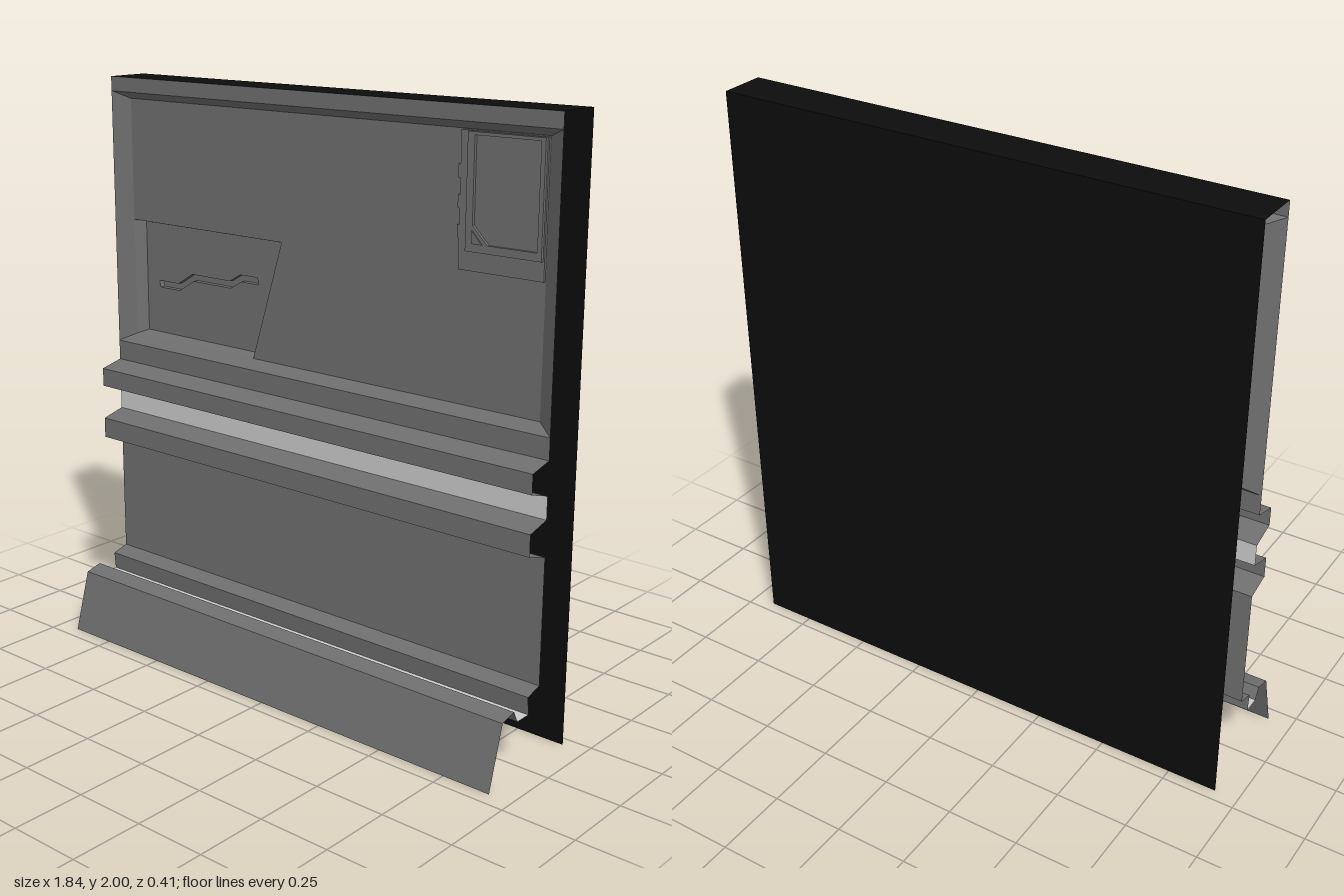
import * as THREE from 'three';

const mat = (color) => new THREE.MeshStandardMaterial({ color, side: THREE.DoubleSide, flatShading: true });
const HALF = 0.92, WALL = -0.055, PANEL = -0.09, NICHE = -0.13, SLIT = -0.15;

export function createModel() {
  const group = new THREE.Group();
  const grey = mat(0x6f6f6f), light = mat(0xcccccc), black = mat(0x0c0c0c);

  const add = (name, geometry, material = grey) => {
    const mesh = new THREE.Mesh(geometry, material);
    mesh.name = name;
    group.add(mesh);
    return mesh;
  };

  // Quads joining two rows of 3D points, kept faceted
  const loft = (a, b, closed) => {
    const pos = [];
    const n = closed ? a.length : a.length - 1;
    for (let i = 0; i < n; i++) {
      const j = (i + 1) % a.length;
      for (const p of [a[i], b[i], b[j], a[i], b[j], a[j]]) pos.push(...p);
    }
    const g = new THREE.BufferGeometry();
    g.setAttribute('position', new THREE.Float32BufferAttribute(pos, 3));
    g.computeVertexNormals();
    return g;
  };

  // Open [z, y] profile swept across the full width
  const sweep = (profile) => loft(
    profile.map(([z, y]) => [-HALF, y, z]),
    profile.map(([z, y]) => [HALF, y, z]));

  // Sloping sides between two [x, y] outlines at different depths
  const sides = (outer, z0, inner, z1) => loft(
    outer.map(([x, y]) => [x, y, z0]), inner.map(([x, y]) => [x, y, z1]), true);

  const shapeOf = (outline, hole) => {
    const s = new THREE.Shape(outline.map((p) => new THREE.Vector2(...p)));
    if (hole) s.holes.push(new THREE.Path(hole.map((p) => new THREE.Vector2(...p))));
    return s;
  };
  const flat = (outline, z, hole) => new THREE.ShapeGeometry(shapeOf(outline, hole)).translate(0, 0, z);
  const slab = (outline, z, depth, hole) =>
    new THREE.ExtrudeGeometry(shapeOf(outline, hole), { depth, bevelEnabled: false }).translate(0, 0, z);
  const rect = (x0, y0, x1, y1) => [[x0, y0], [x1, y0], [x1, y1], [x0, y1]];

  // Back sheet and top cover
  add('backAndTopCover', sweep([[-0.21, 0], [-0.21, 2], [WALL, 2]]), black);

  // Front wall with its two rails and the lit strip between them
  add('topBorder', sweep([[WALL, 2], [WALL, 1.95]]));
  add('upperRail', sweep([[WALL, 1.055], [WALL, 0.985], [0.03, 0.965], [0.03, 0.9], [WALL, 0.875]]));
  add('lightStrip', sweep([[WALL, 0.875], [WALL, 0.8]]), light);
  add('lowerRailAndWall', sweep([[WALL, 0.8], [0.03, 0.778], [0.03, 0.706], [WALL, 0.682],
    [WALL, 0.262], [0.005, 0.245], [0, 0.185]]));

  // Floor trim: lit gutter and sloping skirt
  add('gutterLight', sweep([[0, 0.185], [0.06, 0.185]]), light);
  add('skirt', sweep([[0.06, 0.185], [0.08, 0.225], [0.14, 0.21], [0.2, 0]]));

  // Large recessed panel, cut out at its lower corner for the niche
  add('panelBevel', sides(rect(-HALF, 1.055, HALF, 1.95), WALL, rect(-0.86, 1.085, 0.86, 1.925), PANEL));
  add('panelFace', flat([[-0.86, 1.5], [-0.16, 1.5], [-0.29, 1.085],
    [0.86, 1.085], [0.86, 1.925], [-0.86, 1.925]], PANEL));

  // Niche with a stepped slit in its face
  const nicheOuter = [[-0.86, 1.085], [-0.29, 1.085], [-0.16, 1.5], [-0.86, 1.5]];
  const nicheInner = [[-0.84, 1.095], [-0.3, 1.095], [-0.18, 1.49], [-0.84, 1.49]];
  const slitLine = [[-0.775, 1.26], [-0.68, 1.26], [-0.61, 1.303], [-0.43, 1.303], [-0.38, 1.332], [-0.3, 1.332]];
  const slit = [...slitLine, ...slitLine.map(([x, y]) => [x - 0.005, y + 0.024]).reverse()];
  add('nicheBevel', sides(nicheOuter, PANEL, nicheInner, NICHE));
  add('nicheFace', flat(nicheInner, NICHE, slit));
  add('slitSides', sides(slit, NICHE, slit, SLIT));
  add('slitFloor', flat(slit, SLIT));

  // Raised plate in the upper corner, with a frame and a corner gusset
  add('cornerPlate', slab(rect(0.555, 1.505, 0.858, 1.922), PANEL, 0.008));
  add('cornerFrame', slab(rect(0.585, 1.565, 0.853, 1.92), PANEL + 0.008, 0.01,
    [[0.665, 1.59], [0.838, 1.59], [0.838, 1.91], [0.61, 1.91], [0.61, 1.645]]));
  add('cornerGusset', slab([[0.61, 1.59], [0.648, 1.59], [0.61, 1.63]], PANEL + 0.018, 0.004));
  for (const y of [1.62, 1.71, 1.8]) {
    add('plateClip', new THREE.BoxGeometry(0.008, 0.04, 0.008).translate(0.552, y, PANEL + 0.004));
  }

  return group;
}
